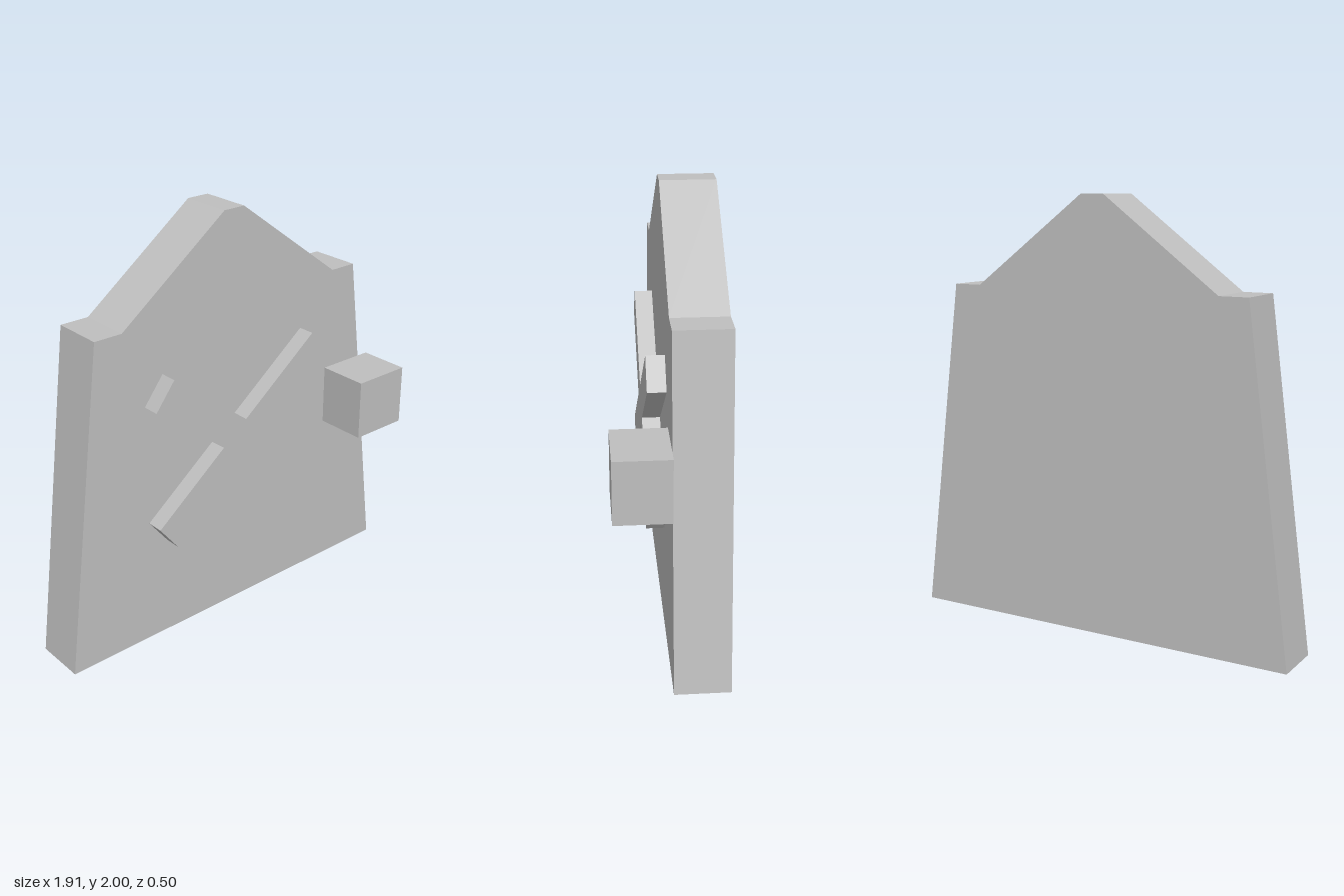
import * as THREE from 'three';

// Flat plate cut from an outline, spanning z0 to z0 + depth
function plate(name, points, z0, depth, material) {
  const shape = new THREE.Shape(points.map(([x, y]) => new THREE.Vector2(x, y)));
  const geometry = new THREE.ExtrudeGeometry(shape, { depth, bevelEnabled: false });
  geometry.translate(0, 0, z0);
  const mesh = new THREE.Mesh(geometry, material);
  mesh.name = name;
  return mesh;
}

// Closes a right-hand outline (bottom to top) with its mirror image
function mirrored(half) {
  return [...half, ...half.filter(([x]) => x > 0).reverse().map(([x, y]) => [-x, y])];
}

export function createModel() {
  const grey = new THREE.MeshStandardMaterial({ color: 0xbfbfbf });
  grey.name = 'plain grey';
  const model = new THREE.Group();
  model.name = 'door';

  // Tapered slab with small shoulders and a pointed top
  model.add(plate('doorPanel', mirrored([
    [0.957, 0], [0.75, 1.583], [0.612, 1.583], [0.055, 2],
  ]), -0.248, 0.248, grey));

  // Raised diagonal cross
  model.add(plate('crossBrace', mirrored([
    [0, 0.815], [0.409, 0.497], [0.509, 0.626], [0.134, 0.919],
    [0.509, 1.212], [0.409, 1.341], [0, 1.023],
  ]), 0, 0.083, grey));

  // Block handle overhanging the edge
  const handle = new THREE.Mesh(new THREE.BoxGeometry(0.291, 0.291, 0.248), grey);
  handle.name = 'handle';
  handle.position.set(0.729, 0.939, 0.124);
  model.add(handle);

  return model;
}
